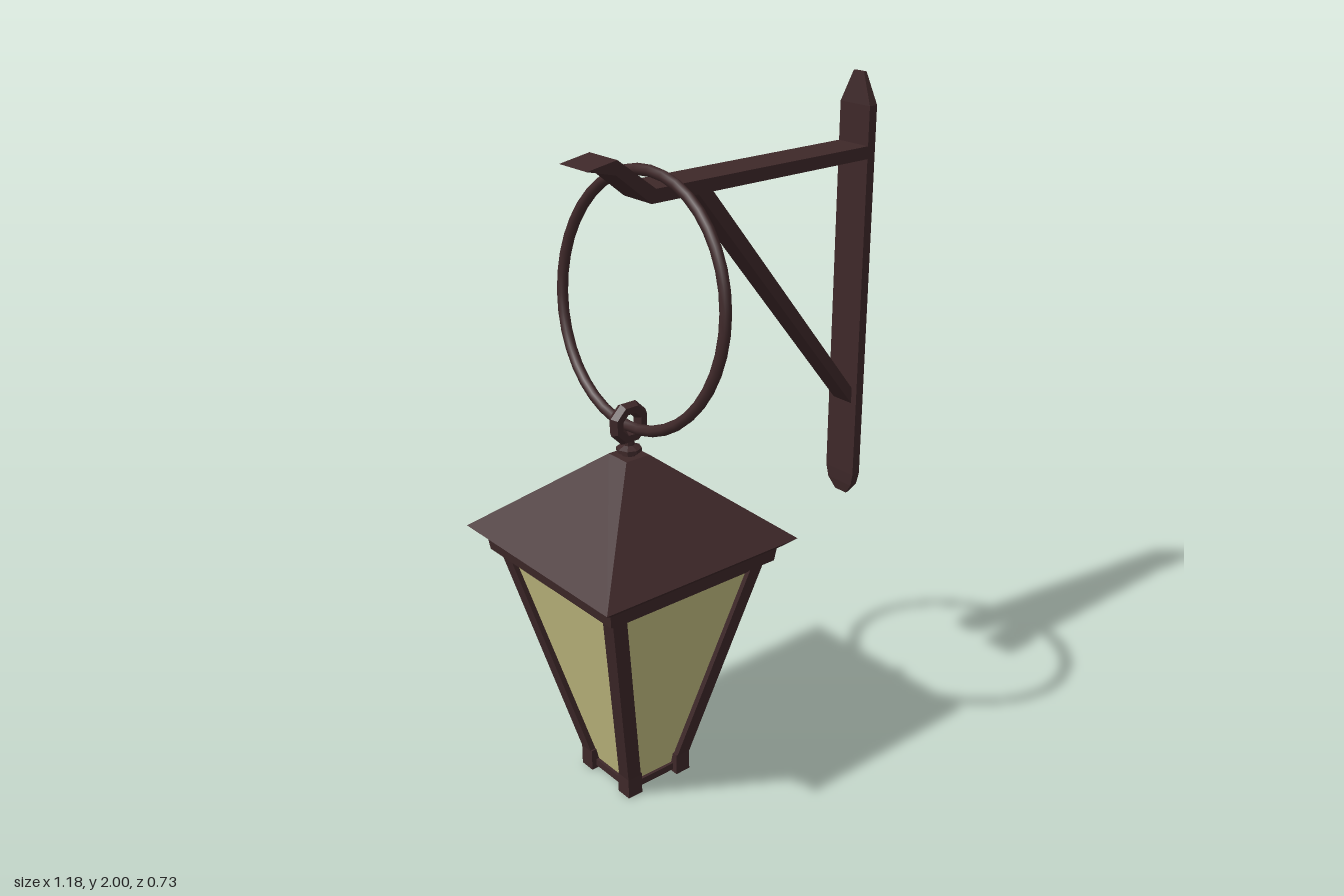
import * as THREE from 'three';

const iron = new THREE.MeshStandardMaterial({ color: 0x3e2829, flatShading: true });
const ironSmooth = new THREE.MeshStandardMaterial({ color: 0x3e2829 });
const glass = new THREE.MeshStandardMaterial({ color: 0xc4be82, flatShading: true });

function add(parent, name, geometry, material = iron) {
  const mesh = new THREE.Mesh(geometry, material);
  mesh.name = name;
  parent.add(mesh);
  return mesh;
}

// Square loft from [half width, y] pairs, listed bottom to top
function squareLoft(profile) {
  const pts = profile.map(([h, y]) => new THREE.Vector2(h * Math.SQRT2, y));
  return new THREE.LatheGeometry(pts, 4, Math.PI / 4);
}

// Side outline in x/y extruded to a width centred on z = 0
function plank(points, width) {
  const shape = new THREE.Shape(points.map(([x, y]) => new THREE.Vector2(x, y)));
  return new THREE.ExtrudeGeometry(shape, { depth: width, bevelEnabled: false }).translate(0, 0, -width / 2);
}

// Upright box whose top is shifted outwards by a given amount in x and z
function leaningBar(size, y0, y1, c0, c1, sx, sz) {
  const g = new THREE.BoxGeometry(size, y1 - y0, size).translate(0, (y0 + y1) / 2, 0);
  const p = g.attributes.position;
  for (let i = 0; i < p.count; i++) {
    const c = p.getY(i) > (y0 + y1) / 2 ? c1 : c0;
    p.setX(i, p.getX(i) + sx * c);
    p.setZ(i, p.getZ(i) + sz * c);
  }
  return g;
}

function createBracket() {
  const bracket = new THREE.Group();
  bracket.name = 'wallBracket';
  bracket.position.z = 0.018;

  // Wall post with tapered ends
  const post = add(bracket, 'wallPost', squareLoft([
    [0, 0.685], [0.4, 0.685], [0.85, 0.72], [1, 0.76], [1, 1.91], [0.35, 2], [0, 2],
  ]));
  post.scale.set(0.0145, 1, 0.058);
  post.position.x = 0.572;

  // Horizontal arm ending in an upturned hook
  add(bracket, 'arm', plank([
    [0.565, 1.76], [0.565, 1.797], [-0.215, 1.797], [-0.336, 1.888],
    [-0.43, 1.872], [-0.341, 1.85], [-0.23, 1.76],
  ], 0.116));

  // Diagonal brace
  add(bracket, 'brace', plank([
    [-0.066, 1.765], [0.565, 0.99], [0.565, 1.04], [-0.015, 1.765],
  ], 0.075));
  return bracket;
}

function createLantern() {
  const lantern = new THREE.Group();
  lantern.name = 'lantern';
  lantern.position.set(-0.26, 0, -0.003);

  // Pyramid roof with its undercut eave
  add(lantern, 'roof', squareLoft([
    [0, 0.73], [0.288, 0.73], [0.293, 0.768], [0.334, 0.803], [0.04, 1.045], [0, 1.045],
  ]));

  // Glass panes, top rail and floor
  add(lantern, 'glassPanes', squareLoft([[0.09, 0.03], [0.255, 0.732]]), glass);
  add(lantern, 'topRail', squareLoft([[0, 0.705], [0.258, 0.705], [0.265, 0.735]]));
  add(lantern, 'floor', squareLoft([[0, 0.01], [0.1, 0.01], [0.1, 0.032], [0, 0.032]]));

  // Leaning corner posts and upright feet
  for (const sx of [-1, 1]) {
    for (const sz of [-1, 1]) {
      add(lantern, 'cornerPost', leaningBar(0.046, 0.06, 0.735, 0.092, 0.247, sx, sz));
      add(lantern, 'foot', leaningBar(0.05, 0, 0.068, 0.091, 0.091, sx, sz));
    }
  }

  // Finial neck and hanging eye
  const neck = [[0, 1.04], [0.022, 1.04], [0.022, 1.052], [0.036, 1.056], [0.036, 1.066], [0.016, 1.075], [0.016, 1.1]];
  add(lantern, 'neck', new THREE.LatheGeometry(neck.map(([r, y]) => new THREE.Vector2(r, y)), 8));
  const eye = add(lantern, 'eye', new THREE.TorusGeometry(0.044, 0.021, 6, 8));
  eye.rotation.z = Math.PI / 8;
  eye.position.y = 1.14;
  return lantern;
}

export function createModel() {
  const model = new THREE.Group();
  model.name = 'wallLantern';
  model.add(createBracket(), createLantern());

  // Large tilted ring linking the eye to the arm
  const ring = add(model, 'hangingRing', new THREE.TorusGeometry(0.348, 0.016, 8, 40), ironSmooth);
  ring.rotation.set(0, Math.PI / 2, -0.135, 'ZYX');
  ring.position.set(-0.217, 1.477, -0.003);
  return model;
}
